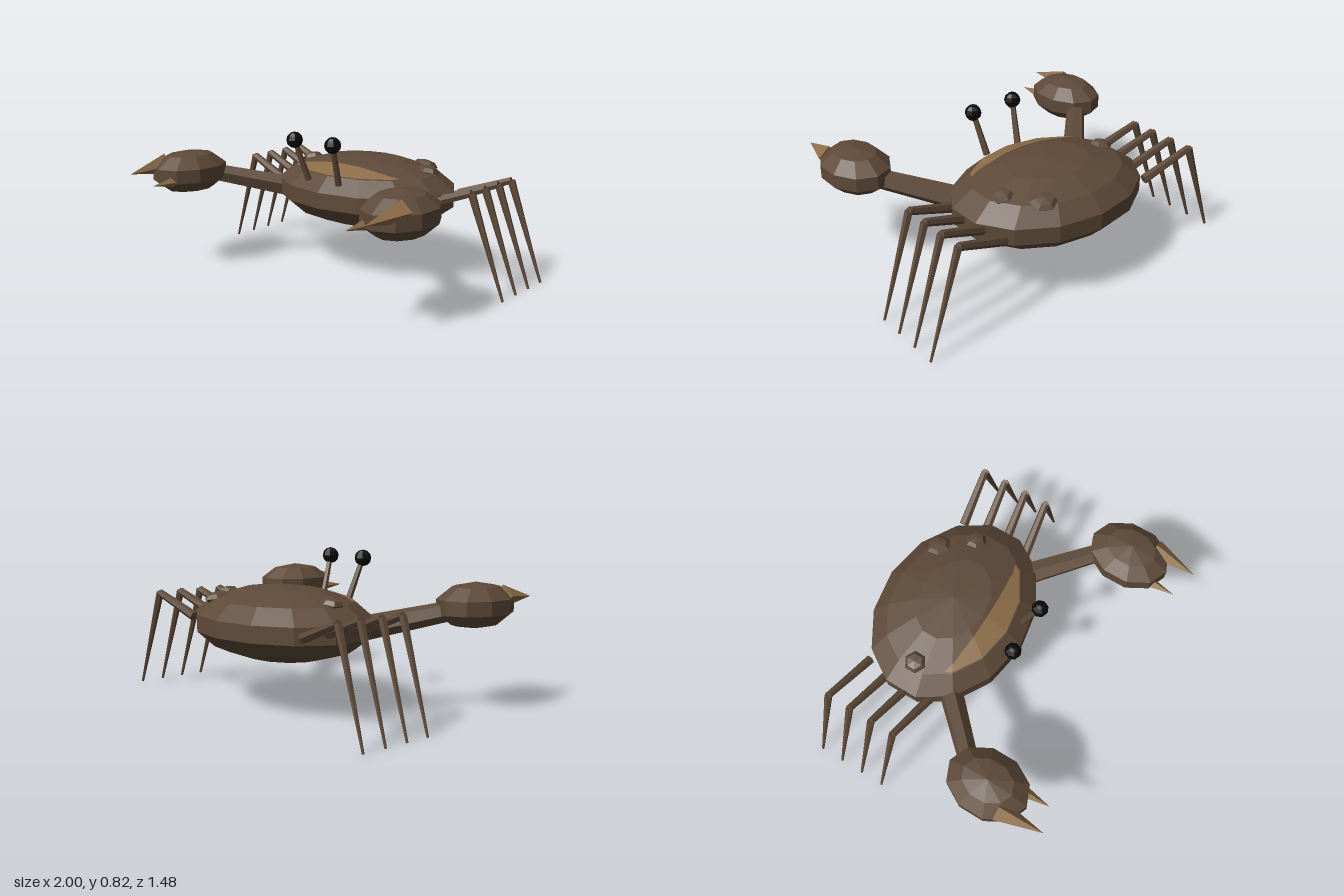
import * as THREE from 'three';

const V = (x, y, z) => new THREE.Vector3(x, y, z);

export function createModel() {
  const crab = new THREE.Group();
  crab.name = 'crab';
  const brown = new THREE.MeshStandardMaterial({ color: 0x5e4a39 });
  brown.name = 'shell brown';
  const tan = new THREE.MeshStandardMaterial({ color: 0x8c6d48 });
  tan.name = 'claw tan';
  const black = new THREE.MeshStandardMaterial({ color: 0x0a0a0a });
  black.name = 'eye black';

  // Faceted mesh: every face gets its own normal
  function add(name, geometry, material, parent = crab) {
    const flat = geometry.index ? geometry.toNonIndexed() : geometry;
    flat.computeVertexNormals();
    const mesh = new THREE.Mesh(flat, material);
    mesh.name = name;
    parent.add(mesh);
    return mesh;
  }

  // Low-poly ellipsoid with a vertex column facing the front
  function ellipsoid(name, center, radii, segments, rings, material, parent) {
    const g = new THREE.SphereGeometry(1, segments, rings);
    g.rotateY(Math.PI / 2).scale(radii.x, radii.y, radii.z);
    const mesh = add(name, g, material, parent);
    mesh.position.copy(center);
    return mesh;
  }

  // Tapered limb between two points
  function limb(name, from, to, r0, r1, sides, material, parent) {
    const dir = to.clone().sub(from);
    const mesh = add(name, new THREE.CylinderGeometry(r1, r0, dir.length(), sides), material, parent);
    mesh.position.copy(from).add(to).multiplyScalar(0.5);
    mesh.quaternion.setFromUnitVectors(V(0, 1, 0), dir.normalize());
    return mesh;
  }

  // Shell
  const center = V(0, 0.448, -0.318), radii = V(0.579, 0.202, 0.437);
  ellipsoid('shell', center, radii, 14, 7, brown);

  // Pale band on the front of the shell, lying on its second ring of faces
  const step = Math.PI / 7;
  const corner = (column, ring) => V(
    Math.sin(ring * step) * Math.sin(column * step),
    Math.cos(ring * step),
    Math.sin(ring * step) * Math.cos(column * step)
  ).multiply(radii).add(center);
  function onShell(column, t) {
    const c = Math.floor(column);
    const edge = (k) => corner(k, 1).lerp(corner(k, 2), t);
    return edge(c).lerp(edge(c + 1), column - c).add(V(0, 0.004, 0));
  }
  const half = [[0, 0.14, 0.97], [1, 0.26, 0.97], [2, 0.74, 0.97], [2.25, 0.92, 0.95]];
  const columns = [...half.slice(1).reverse().map(([c, a, b]) => [-c, a, b]), ...half];
  const bandPoints = [];
  for (let i = 0; i < columns.length - 1; i++) {
    const [c0, a0, b0] = columns[i], [c1, a1, b1] = columns[i + 1];
    const p = onShell(c0, a0), q = onShell(c0, b0), r = onShell(c1, b1), s = onShell(c1, a1);
    bandPoints.push(p, q, r, p, r, s);
  }
  add('shellBand', new THREE.BufferGeometry().setFromPoints(bandPoints), tan);

  // Barnacles, tilted to follow the shell
  for (const [x, z, r] of [[0.245, -0.575, 0.072], [0.38, -0.41, 0.062], [-0.405, -0.31, 0.062]]) {
    const nx = x / radii.x, nz = (z - center.z) / radii.z;
    const ny = Math.sqrt(1 - nx * nx - nz * nz);
    const bump = ellipsoid('barnacle', V(x, center.y + radii.y * ny - 0.006, z),
      V(r, 0.03, r), 6, 4, brown);
    const normal = V(nx / radii.x, ny / radii.y, nz / radii.z).normalize();
    bump.quaternion.setFromUnitVectors(V(0, 1, 0), normal.lerp(V(0, 1, 0), 0.4).normalize());
  }

  for (const s of [1, -1]) {
    const side = s > 0 ? 'left' : 'right';

    // Eye on its stalk
    const eye = new THREE.Group();
    eye.name = side + 'Eye';
    crab.add(eye);
    const ball = V(s * 0.138, 0.778, 0.14);
    limb('eyeStalk', V(s * 0.11, 0.545, 0.058), ball, 0.019, 0.014, 6, brown, eye);
    ellipsoid('eyeball', ball, V(0.046, 0.046, 0.046), 8, 6, black, eye);

    // Arm, claw and two pincer tips
    const arm = new THREE.Group();
    arm.name = side + 'Arm';
    crab.add(arm);
    limb('armSegment', V(s * 0.415, 0.442, -0.085), V(s * 0.70, 0.53, 0.21), 0.066, 0.054, 6, brown, arm);
    ellipsoid('claw', V(s * 0.76, 0.557, 0.367), V(0.187, 0.123, 0.243), 10, 5, brown, arm);
    limb('largePincer', V(s * 0.85, 0.603, 0.48), V(s * 0.83, 0.583, 0.737), 0.06, 0, 4, tan, arm);
    limb('smallPincer', V(s * 0.69, 0.53, 0.51), V(s * 0.69, 0.528, 0.695), 0.038, 0, 4, tan, arm);

    // Four jointed walking legs
    for (let i = 0; i < 4; i++) {
      const z = -0.2 - i * 0.1367;
      const leg = new THREE.Group();
      leg.name = side + 'Leg' + (i + 1);
      crab.add(leg);
      const knee = V(s * 0.795, 0.558, z);
      limb('upperLeg', V(s * 0.49, 0.447, z + 0.042), knee, 0.028, 0.021, 6, brown, leg);
      limb('lowerLeg', knee, V(s * 0.993, 0.002, z - 0.024), 0.022, 0.007, 6, brown, leg);
    }
  }
  return crab;
}
